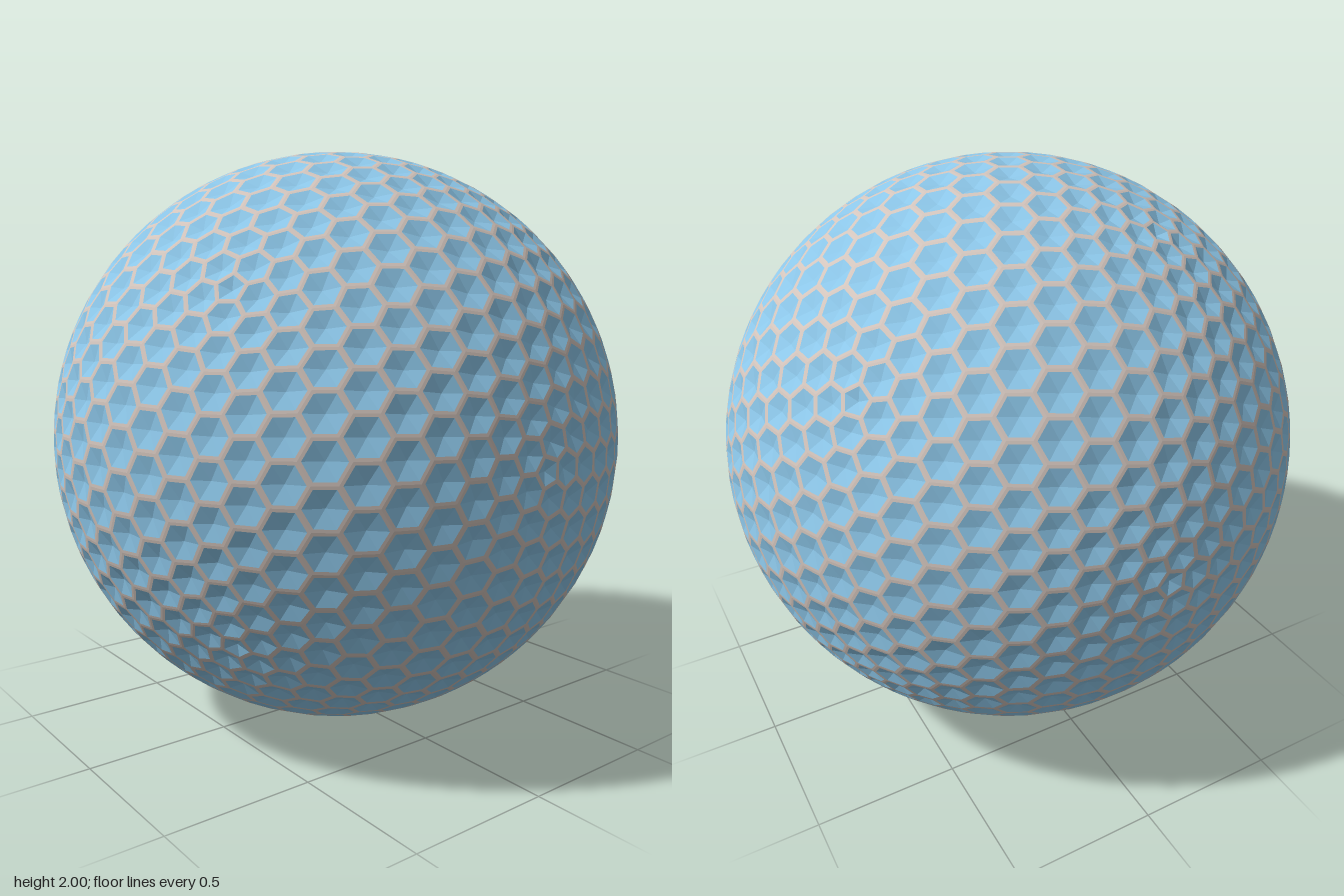
import * as THREE from 'three';

const FREQUENCY = 10;     // cells along each icosahedron edge
const INSET = 0.85;       // size of the blue panel inside its rim
const DIMPLE_RADIUS = 0.984; // distance of each panel's middle from the ball's centre

// Corner points of the cell around every vertex of a subdivided icosahedron
function findCells() {
  const ico = new THREE.IcosahedronGeometry(1, FREQUENCY - 1);
  ico.rotateX(Math.atan2(0.5257, 0.8507)); // a pentagon faces front
  ico.rotateZ(Math.PI / 2);
  const pos = ico.attributes.position;
  const cells = new Map();
  for (let i = 0; i < pos.count; i += 3) {
    const tri = [0, 1, 2].map(k => new THREE.Vector3().fromBufferAttribute(pos, i + k));
    const corner = tri[0].clone().add(tri[1]).add(tri[2]).normalize();
    for (const p of tri) {
      const key = p.toArray().map(c => Math.round(c * 1000)).join();
      if (!cells.has(key)) cells.set(key, { centre: p, corners: [] });
      cells.get(key).corners.push(corner);
    }
  }
  // Order the corners anticlockwise as seen from outside
  for (const { centre, corners } of cells.values()) {
    const u = corners[0].clone().projectOnPlane(centre).normalize();
    const v = centre.clone().cross(u);
    const angle = c => Math.atan2(c.dot(v), c.dot(u));
    corners.sort((a, b) => angle(a) - angle(b));
  }
  return [...cells.values()];
}

function facetMesh(name, points, color) {
  const geometry = new THREE.BufferGeometry().setFromPoints(points);
  geometry.computeVertexNormals();
  const mesh = new THREE.Mesh(geometry, new THREE.MeshStandardMaterial({ color, flatShading: true }));
  mesh.name = name;
  mesh.position.y = 1;
  return mesh;
}

export function createModel() {
  const rims = [], panels = [];
  for (const { corners } of findCells()) {
    const middle = new THREE.Vector3();
    corners.forEach(c => middle.add(c));
    middle.divideScalar(corners.length);
    const inner = corners.map(c => middle.clone().lerp(c, INSET));
    const pit = middle.clone().setLength(DIMPLE_RADIUS);
    corners.forEach((a, i) => {
      const j = (i + 1) % corners.length;
      // Flat rim strip, then one facet of the sunken panel
      rims.push(a, corners[j], inner[j], a, inner[j], inner[i]);
      panels.push(inner[i], inner[j], pit);
    });
  }
  const group = new THREE.Group();
  group.name = 'dimpledBall';
  group.add(facetMesh('honeycombRims', rims, 0xd2c4bc));
  group.add(facetMesh('dimplePanels', panels, 0x8cc6e8));
  return group;
}
